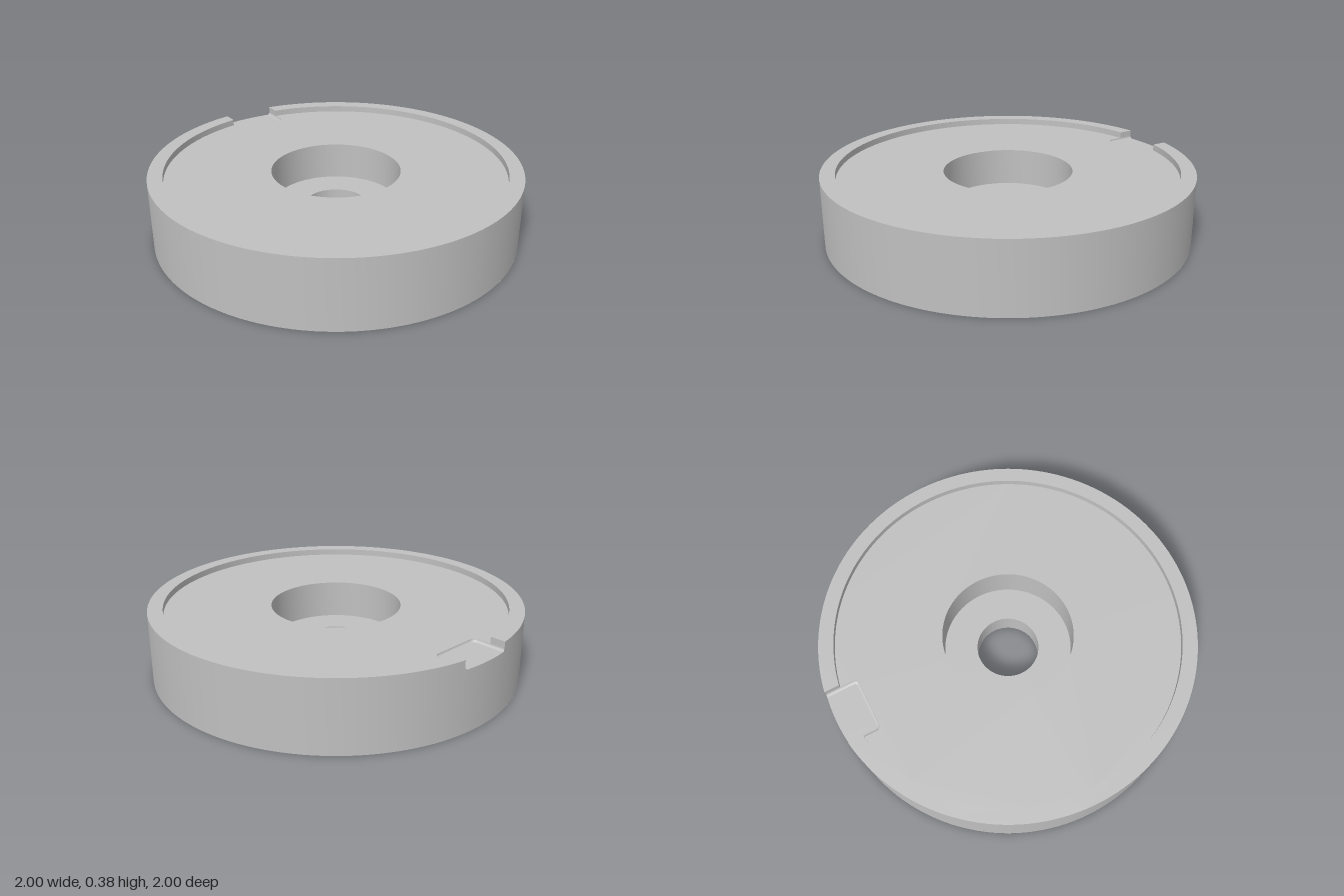
import * as THREE from 'three';
import { toCreasedNormals } from 'three/addons/utils/BufferGeometryUtils.js';

const TOP = 0.38, FLOOR = 0.345, NOTCH = 0.33, BORE = 0.14; // heights
const R = 1, RIM = 0.92, BORE_R = 0.35, HOLE_R = 0.17;      // radii
const HALF = 0.15, NOTCH_IN = 0.81, CORNER = 0.03;          // notch plan
const FILLET = FLOOR - NOTCH;
const SEG = 144;

// Plan points are [x, s] where s runs towards the back (s = -z).
const arc = (r, a0, a1, n) => Array.from({ length: n + 1 }, (_, i) => {
  const a = a0 + (a1 - a0) * i / n;
  return [r * Math.sin(a), r * Math.cos(a)];
});
const ring = (r, n = SEG) => {
  const a = Math.asin(HALF / r);
  return arc(r, a, 2 * Math.PI - a, n);
};

// Surface spanned between rows of 3D points
function loft(rows) {
  const n = rows[0].length, index = [];
  for (let i = 0; i < rows.length - 1; i++) {
    for (let j = 0; j < n - 1; j++) {
      const b = i * n + j, t = b + n;
      index.push(b, t, t + 1, b, t + 1, b + 1);
    }
  }
  const g = new THREE.BufferGeometry();
  g.setAttribute('position', new THREE.Float32BufferAttribute(rows.flat(2), 3));
  g.setIndex(index);
  return toCreasedNormals(g, 0.6);
}
const row = (pts, y) => pts.map(([x, s]) => [x, typeof y === 'function' ? y(x) : y, -s]);

// Flat upward face with an optional round hole
function plate(pts, y, hole) {
  const shape = new THREE.Shape(pts.map(([x, s]) => new THREE.Vector2(x, s)));
  if (hole) shape.holes.push(new THREE.Path().absarc(0, 0, hole, 0, 2 * Math.PI, true));
  return new THREE.ShapeGeometry(shape, SEG / 2).rotateX(-Math.PI / 2).translate(0, y, 0);
}

// U-shaped notch outline inset by d, open at radius r
function notchPath(d, r) {
  const w = HALF - d, end = Math.sqrt(r * r - w * w), pts = [[w, end]];
  for (const side of [1, -1]) {
    for (let i = 0; i <= 6; i++) {
      const t = (side > 0 ? i : 6 - i) / 6 * Math.PI / 2;
      pts.push([side * (HALF - CORNER + (CORNER - d) * Math.cos(t)),
        NOTCH_IN + CORNER - (CORNER - d) * Math.sin(t)]);
    }
  }
  pts.push([-w, end]);
  return pts;
}

export function createModel() {
  const group = new THREE.Group();
  const grey = new THREE.MeshStandardMaterial({ color: 0xc0c0c0, side: THREE.DoubleSide });
  grey.name = 'plain grey';
  const add = (name, geometry) => {
    const mesh = new THREE.Mesh(geometry, grey);
    mesh.name = name;
    group.add(mesh);
  };

  // Counterbore, through hole and underside
  const profile = [[BORE_R, FLOOR], [BORE_R, BORE], [HOLE_R, BORE], [HOLE_R, 0], [R, 0]]
    .map(([x, y]) => new THREE.Vector2(x, y));
  add('boreAndUnderside', toCreasedNormals(new THREE.LatheGeometry(profile, SEG), 0.6));

  // Outer wall, lowered across the notch
  const notchTop = x => {
    const d = Math.max(0, Math.abs(x) - (HALF - FILLET));
    return FLOOR - Math.sqrt(Math.max(0, FILLET * FILLET - d * d));
  };
  const aN = Math.asin(HALF / R);
  const back = arc(R, -aN, aN, 60);
  add('outerWall', loft([row(ring(R), 0), row(ring(R), TOP)]));
  add('outerWallBelowNotch', loft([row(back, 0), row(back, notchTop)]));

  // Raised rim
  add('rimTop', plate([...ring(R), ...ring(RIM).reverse()], TOP));
  add('rimInnerWall', loft([row(ring(RIM), TOP), row(ring(RIM), FLOOR)]));

  // Recessed face with the notch cut out
  add('recessFloor', plate([...ring(RIM), ...notchPath(0, RIM).slice(1, -1).reverse()], FLOOR, BORE_R));

  // Notch floor, filleted edge and the cut ends of the rim
  const w = HALF - FILLET, aF = Math.asin(w / R);
  add('notchFloor', plate([...notchPath(FILLET, R).slice(1, -1), ...arc(R, -aF, aF, 16)], NOTCH));
  const rows = [];
  for (let i = 0; i <= 5; i++) {
    const t = i / 5 * Math.PI / 2;
    rows.push(row(notchPath(FILLET * (1 - Math.cos(t)), R), FLOOR - FILLET * Math.sin(t)));
  }
  add('notchFillet', loft(rows));
  const outer = Math.sqrt(R * R - HALF * HALF), inner = Math.sqrt(RIM * RIM - HALF * HALF);
  for (const [name, pts] of [
    ['leftRimEnd', [[HALF, outer], [HALF, inner]]],
    ['rightRimEnd', [[-HALF, inner], [-HALF, outer]]],
  ]) add(name, loft([row(pts, TOP), row(pts, FLOOR)]));

  return group;
}
